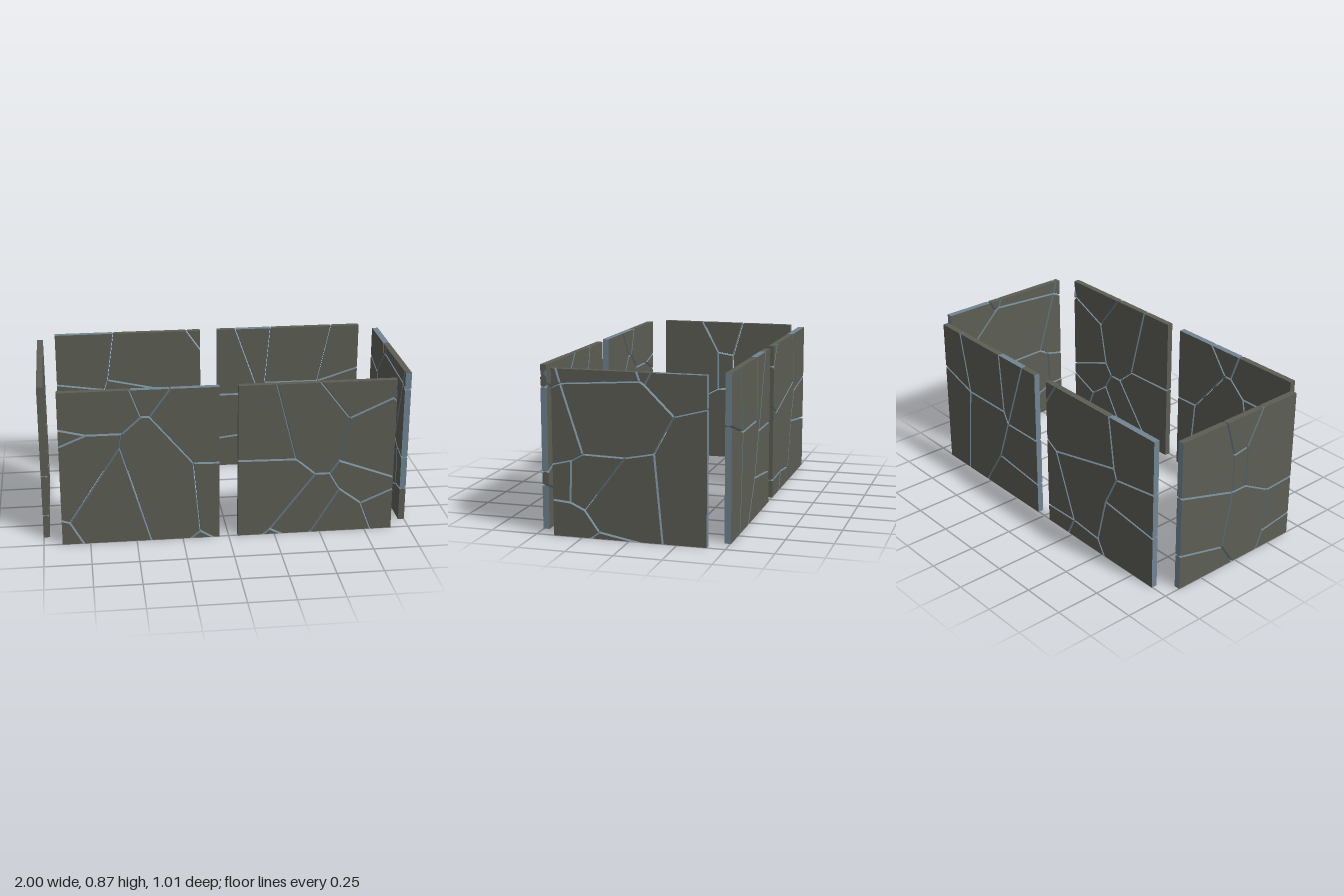
import * as THREE from 'three';

const H = 0.866, T = 0.034; // panel height and thickness
const MINUS = [-0.9, -0.05], PLUS = [0.05, 0.9], END = [-0.405, 0.405]; // horizontal extents
const stone = new THREE.MeshStandardMaterial({ color: 0x5c5e54 });
stone.name = 'olive stone';
const broken = new THREE.MeshStandardMaterial({ color: 0x6f8592 });
broken.name = 'blue grey broken edge';

// Move each edge of a counter-clockwise polygon inward by its own amount
function inset(poly, amounts) {
  const n = poly.length;
  const lines = poly.map((p, i) => {
    const d = poly[(i + 1) % n].clone().sub(p).normalize();
    return { p: p.clone().add(new THREE.Vector2(-d.y, d.x).multiplyScalar(amounts[i])), d };
  });
  return lines.map((b, i) => {
    const a = lines[(i + n - 1) % n];
    const k = b.p.clone().sub(a.p).cross(b.d) / a.d.cross(b.d);
    return a.p.clone().addScaledVector(a.d, k);
  });
}

// A shard: flat faces front and back, with V-shaped grooves along its cracks
function makeShard(letters, nodes, [u0, u1], worn) {
  let names = [...letters];
  if (THREE.ShapeUtils.isClockWise(names.map((l) => nodes[l]))) names.reverse();
  const poly = names.map((l) => nodes[l]);
  const n = poly.length;
  const rim = poly.map((p, i) => {
    const q = poly[(i + 1) % n];
    return (p.x === q.x && (p.x === u0 || p.x === u1)) || (p.y === q.y && (p.y === 0 || p.y === H));
  });
  const face = inset(poly, rim.map((r) => (r ? 0 : 0.0055)));
  const mid = inset(poly, rim.map((r) => (r ? 0 : 0.0008)));
  const rings = [[face, T / 2], [mid, 0], [face, -T / 2]];
  const plain = [], blue = [];
  const put = (list, p, z) => list.push(p.x, p.y, z);
  for (const [a, b, c] of THREE.ShapeUtils.triangulateShape(face, [])) {
    for (const k of [a, b, c]) put(plain, face[k], T / 2);
    for (const k of [a, c, b]) put(plain, face[k], -T / 2);
  }
  for (let i = 0; i < n; i++) {
    const j = (i + 1) % n;
    const isWorn = worn.includes(names[i] + names[j]) || worn.includes(names[j] + names[i]);
    const list = !rim[i] || isWorn ? blue : plain;
    for (let r = 0; r < 2; r++) {
      const [up, zu] = rings[r], [lo, zl] = rings[r + 1];
      put(list, lo[i], zl); put(list, lo[j], zl); put(list, up[j], zu);
      put(list, lo[i], zl); put(list, up[j], zu); put(list, up[i], zu);
    }
  }
  const geo = new THREE.BufferGeometry();
  geo.setAttribute('position', new THREE.Float32BufferAttribute([...plain, ...blue], 3));
  geo.addGroup(0, plain.length / 3, 0);
  geo.addGroup(plain.length / 3, blue.length / 3, 1);
  geo.computeVertexNormals();
  return new THREE.Mesh(geo, [stone, broken]);
}

// A panel: cracks meet the four rims and each other at lettered points (corners
// are A B C D from bottom left); shards and worn rim edges are spelled in letters
function makePanel(name, turn, dist, range, { top, bottom, left, right, inner, shards, worn }) {
  const [u0, u1] = range;
  const nodes = {};
  const add = (l, u, v) => { nodes[l] = new THREE.Vector2(u, v); };
  add('A', u0, 0); add('B', u1, 0); add('C', u1, H); add('D', u0, H);
  for (const l in top) add(l, top[l], H);
  for (const l in bottom) add(l, bottom[l], 0);
  for (const l in left) add(l, u0, left[l]);
  for (const l in right) add(l, u1, right[l]);
  for (const l in inner) add(l, ...inner[l]);

  const panel = new THREE.Group();
  panel.name = name;
  shards.split(' ').forEach((letters, i) => {
    const shard = makeShard(letters, nodes, range, worn.split(' '));
    shard.name = `shard${i + 1}`;
    panel.add(shard);
  });
  // Turn the panel to face outward on its side of the enclosure
  panel.rotation.y = turn;
  panel.position.set(Math.sin(turn) * dist, 0, Math.cos(turn) * dist);
  return panel;
}

export function createModel() {
  const model = new THREE.Group();
  model.name = 'crackedWallPanels';
  const long = 0.487, short = 0.984; // distances of the panels from the centre

  model.add(makePanel('frontRightPanel', 0, long, MINUS, {
    top: { a: -.52, b: -.31 }, bottom: { l: -.785, m: -.42, q: -.205, r: -.09 },
    left: { g: .66, h: .565, k: .14 }, right: { o: .437 },
    inner: { c: [-.465, .715], d: [-.42, .715], e: [-.565, .625], f: [-.755, .625],
      i: [-.58, .55], j: [-.855, .125], n: [-.19, .44], p: [-.155, .04] },
    shards: 'acdb Dgfeca gfh hfeijk kjlA jiml iecdnpqm pqr noBrp bdnoC',
    worn: 'ab bC oB oC Al lm mq qr rB',
  }));

  model.add(makePanel('frontLeftPanel', 0, long, PLUS, {
    top: { a: .255, b: .49 }, bottom: { o: .785, p: .45, r: .19, s: .285 },
    left: { t: .44 }, right: { j: .82, k: .75, l: .305, n: .235 },
    inner: { c: [.365, .435], d: [.47, .345], e: [.55, .345], f: [.605, .25], g: [.6, .415],
      h: [.65, .66], i: [.885, .765], m: [.725, .16], q: [.225, .03] },
    shards: 'Dtca acdeghb bhijC ijk hglki gefmnl mnBo fmop defpsq qrs tcdqrA',
    worn: 'Bn lk',
  }));

  model.add(makePanel('leftSidePanel', Math.PI / 2, short, END, {
    top: { a: -.38, e: .045, g: .12 }, bottom: { k: .177, t: -.205, u: .035 },
    left: { c: .77, o: .375, q: .188 }, right: { i: .697 },
    inner: { b: [-.358, .792], d: [.06, .82], f: [.085, .803], h: [.237, .653], j: [.134, .46],
      l: [-.02, .43], m: [-.242, .435], n: [-.304, .4], p: [-.312, .18], r: [-.236, .145],
      s: [-.158, .035] },
    shards: 'Dcba abde edfg gfhiC bmljhfd ihjkB conmb oqpn nprlm qAtsrp stu lrsukj',
    worn: 'qo oc cD gC Bi iC',
  }));

  model.add(makePanel('backLeftPanel', Math.PI, long, MINUS, {
    top: { a: -.735, e: -.37, g: -.16 }, bottom: { j: -.53, l: -.71 },
    left: { c: .6 }, right: { h: .46, k: .18 },
    inner: { b: [-.66, .525], d: [-.34, .525], f: [-.305, .46], i: [-.39, .22] },
    shards: 'Dcba abde edfg gfhC fikh ijBk bljifd cAlb',
    worn: 'eg Ac cD Bk kh hC',
  }));

  model.add(makePanel('backRightPanel', Math.PI, long, PLUS, {
    top: { a: .13, f: .56 }, bottom: { m: .22, n: .52 },
    left: { b: .75, d: .52, o: .1 }, right: { h: .56, j: .3 },
    inner: { c: [.127, .475], e: [.6, .58], g: [.62, .52], i: [.535, .35], k: [.27, .105],
      l: [.47, .085] },
    shards: 'Dba abdcef dokc oAmk kmnl cegilk feghC gijh ilnBj',
    worn: 'fC Bj jh hC',
  }));

  model.add(makePanel('rightSidePanel', -Math.PI / 2, short, END, {
    top: { a: -.1, b: .16 }, bottom: { l: -.02, o: .16 },
    left: { g: .545, k: .2 }, right: { i: .36, n: .13 },
    inner: { c: [-.04, .66], d: [.057, .675], e: [.057, .44], f: [-.04, .44], h: [.225, .35],
      j: [-.1, .125], m: [.205, .1] },
    shards: 'Dgfca acdb bdehiC cfed gkjf kAlj fjlomhe hmni moBn',
    worn: 'Ak kg gD',
  }));
  return model;
}
